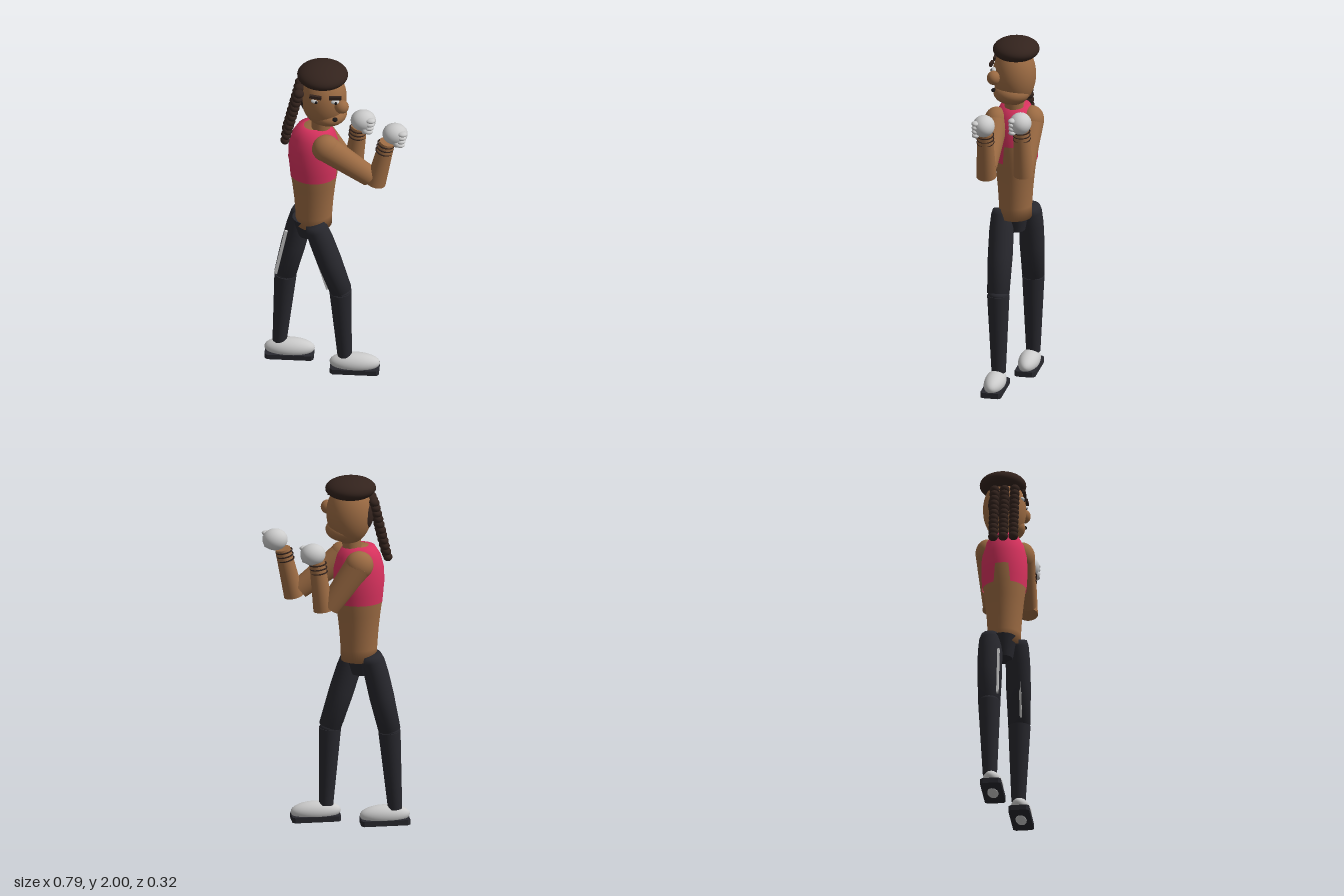
import * as THREE from 'three';

const V = (x, y, z) => new THREE.Vector3(x, y, z);
const paint = (color, side = THREE.FrontSide) => new THREE.MeshStandardMaterial({ color, side });

export function createModel() {
  const root = new THREE.Group();
  const skin = paint(0x9c6b43), hair = paint(0x33231d), cloth = paint(0x28282e);
  const pink = paint(0xd8325e, THREE.DoubleSide), white = paint(0xdcdcd8), dark = paint(0x1c1818);
  const grey = paint(0xcccccc);

  function add(name, geo, mat, pos, parent = root) {
    const m = new THREE.Mesh(geo, mat);
    m.name = name;
    m.position.copy(pos);
    parent.add(m);
    return m;
  }
  function ball(name, mat, pos, rx, ry = rx, rz = rx, parent = root) {
    const m = add(name, new THREE.SphereGeometry(1, 32, 20), mat, pos, parent);
    m.scale.set(rx, ry, rz);
    return m;
  }
  function box(name, mat, pos, sx, sy, sz, parent = root) {
    return add(name, new THREE.BoxGeometry(sx, sy, sz), mat, pos, parent);
  }
  // Tapered cylinder from a to b
  function limb(name, mat, a, b, ra, rb, parent = root) {
    const d = b.clone().sub(a);
    const m = add(name, new THREE.CylinderGeometry(rb, ra, d.length(), 28), mat, a.clone().lerp(b, 0.5), parent);
    m.quaternion.setFromUnitVectors(V(0, 1, 0), d.normalize());
    return m;
  }

  // Torso: lathe flattened front to back
  const outline = [[0, 0.95], [0.098, 0.95], [0.1, 1.02], [0.107, 1.12], [0.118, 1.22], [0.13, 1.3],
    [0.136, 1.4], [0.133, 1.48], [0.115, 1.55], [0.085, 1.595], [0, 1.6]];
  const profile = (pts, grow) => pts.map(([r, y]) => new THREE.Vector2(r ? r + grow : 0, y));
  const torso = add('torso', new THREE.LatheGeometry(profile(outline, 0), 48), skin, V(-0.122, 0, 0));
  torso.scale.z = 0.9;

  // Cropped top: its hem steps up at both ends of the x axis
  const topGeo = new THREE.LatheGeometry(profile([[0.129, 1.29], [0.133, 1.34], [0.136, 1.395], [0.133, 1.48],
    [0.115, 1.55], [0.085, 1.6], [0.05, 1.606]], 0.004), 64);
  const p = topGeo.attributes.position;
  for (let i = 0; i < p.count; i++) {
    const r = Math.hypot(p.getX(i), p.getZ(i));
    if (p.getY(i) < 1.39 && Math.abs(p.getZ(i)) < 0.33 * r) {
      const k = 0.14 / r;
      p.setXYZ(i, p.getX(i) * k, 1.395, p.getZ(i) * k);
    }
  }
  add('croppedTop', topGeo, pink, V(-0.122, 0, 0)).scale.z = 0.9;

  // Neck and head
  limb('neck', skin, V(-0.085, 1.54, 0), V(-0.08, 1.72, 0), 0.052, 0.052);
  const head = new THREE.Group();
  head.name = 'head';
  root.add(head);
  ball('skull', skin, V(-0.068, 1.795, -0.005), 0.125, 0.175, 0.118, head);
  ball('jaw', skin, V(-0.04, 1.7, 0.005), 0.1, 0.065, 0.1, head);
  ball('nose', skin, V(0.036, 1.803, 0.09), 0.039, 0.039, 0.036, head);
  ball('mouth', dark, V(0, 1.718, 0.096), 0.015, 0.011, 0.014, head);
  [-0.108, 0].forEach((x, i) => {
    ball('eye', white, V(x, 1.837, 0.094), 0.024, 0.013, 0.016, head);
    ball('pupil', dark, V(x + 0.005, 1.836, 0.106), 0.008, 0.009, 0.007, head);
    box('brow', hair, V(x + 0.002, 1.873, 0.108), 0.066, 0.018, 0.016, head).rotation.z = i ? 0.05 : -0.15;
  });

  // Hair cap, back patch and three braids
  ball('hairCap', hair, V(-0.075, 1.94, -0.013), 0.139, 0.062, 0.127, head);
  ball('hairBack', hair, V(-0.137, 1.79, -0.012), 0.065, 0.1, 0.078, head);
  for (const z of [-0.045, 0.01, 0.066]) {
    for (let i = 0; i < 11; i++) {
      const t = i / 10;
      ball('braidKnot', hair, V(-0.2 - 0.075 * t, 1.86 - 0.315 * t, z), 0.029 - 0.004 * t, 0.024, 0.027, head);
    }
  }

  // Arms raised in guard
  function arm(side, shoulder, elbow, foreStart, wrist, hand) {
    const g = new THREE.Group();
    g.name = side + 'Arm';
    root.add(g);
    ball('shoulder', skin, shoulder, 0.079, 0.079, 0.066, g);
    limb('upperArm', skin, shoulder, elbow, 0.077, 0.058, g).scale.z = 0.86;
    limb('forearm', skin, foreStart, wrist, 0.055, 0.042, g);
    // Wrist bands
    const dir = wrist.clone().sub(foreStart).normalize();
    for (let i = 0; i < 3; i++) {
      const band = add('wristBand', new THREE.TorusGeometry(0.045, 0.004, 6, 28), hair,
        wrist.clone().addScaledVector(dir, -0.015 - 0.024 * i).add(V(-0.004, 0, 0)), g);
      band.quaternion.setFromUnitVectors(V(0, 0, 1), dir);
    }
    // Fist with curled fingers
    ball('fist', white, hand, 0.069, 0.06, 0.06, g);
    for (let i = 0; i < 4; i++) {
      ball('finger', white, hand.clone().add(V(0.042 - 0.004 * i, 0.026 - 0.024 * i, 0.038)), 0.026, 0.014, 0.021, g);
    }
    ball('thumb', white, hand.clone().add(V(0.01, -0.035, 0.042)), 0.018, 0.024, 0.018, g);
  }
  arm('front', V(-0.05, 1.52, 0.093), V(0.192, 1.337, 0.09), V(0.222, 1.3, 0.09), V(0.285, 1.575, 0.085), V(0.327, 1.63, 0.083));
  arm('rear', V(-0.11, 1.52, -0.093), V(0.055, 1.285, -0.088), V(0.085, 1.27, -0.088), V(0.12, 1.55, -0.082), V(0.142, 1.59, -0.082));

  // Hips with a small light patch at the waistband
  const hips = add('hips', new THREE.CylinderGeometry(0.095, 0.06, 0.12, 24), cloth, V(-0.145, 0.925, 0));
  hips.scale.z = 0.8;
  box('waistPatch', paint(0xa9b8c4), V(-0.105, 0.972, 0.05), 0.06, 0.025, 0.06);

  // Legs in a long stride, with shoes pointing along +x
  function leg(side, hip, knee, ankle, footX, footZ, stripe) {
    const g = new THREE.Group();
    g.name = side + 'Leg';
    root.add(g);
    const d = hip.clone().sub(knee);
    const n = d.length();
    const thigh = add('thigh', new THREE.LatheGeometry([[0, 0], [0.061, 0], [0.068, n * 0.45], [0.067, n * 0.75],
      [0.061, n * 0.93], [0.052, n], [0, n]].map(([r, y]) => new THREE.Vector2(r, y)), 28), cloth, knee, g);
    thigh.quaternion.setFromUnitVectors(V(0, 1, 0), d.normalize());
    limb('shin', cloth, ankle, knee.clone().add(V(0, -0.01, 0)), 0.039, 0.061, g);
    ball('knee', cloth, knee.clone().add(V(0, -0.005, 0)), 0.056, 0.03, 0.056, g);
    // Thin trouser stripe along the trailing side
    const [a, b] = stripe;
    const s = box('trouserStripe', grey, a.clone().lerp(b, 0.5), 0.018, a.distanceTo(b), 0.012, g);
    s.quaternion.setFromUnitVectors(V(0, 1, 0), a.clone().sub(b).normalize());
    // Shoe and sole
    ball('shoe', white, V(footX, 0.063, footZ), 0.138, 0.055, 0.057, g);
    const w = 0.134, h = 0.057, c = 0.014;
    const shape = new THREE.Shape([[-w + c, -h], [w - c, -h], [w, -h + c], [w, h - c], [w - c, h], [-w + c, h],
      [-w, h - c], [-w, -h + c]].map(([x, y]) => new THREE.Vector2(x, y)));
    const sole = add('sole', new THREE.ExtrudeGeometry(shape, { depth: 0.03, bevelEnabled: false }), cloth,
      V(footX, 0.013, footZ), g);
    sole.rotation.x = -Math.PI / 2;
    ball('solePad', white, V(footX, 0.013, footZ), 0.062, 0.011, 0.03, g);
  }
  leg('front', V(-0.112, 0.99, 0.07), V(0.028, 0.548, 0.065), V(0.05, 0.1, 0.058), 0.106, 0.066,
    [V(-0.117, 0.83, 0.082), V(-0.04, 0.56, 0.082)]);
  leg('rear', V(-0.185, 0.99, -0.07), V(-0.281, 0.558, -0.065), V(-0.313, 0.1, -0.058), -0.258, -0.048,
    [V(-0.274, 0.87, -0.015), V(-0.332, 0.58, -0.015)]);

  return root;
}
